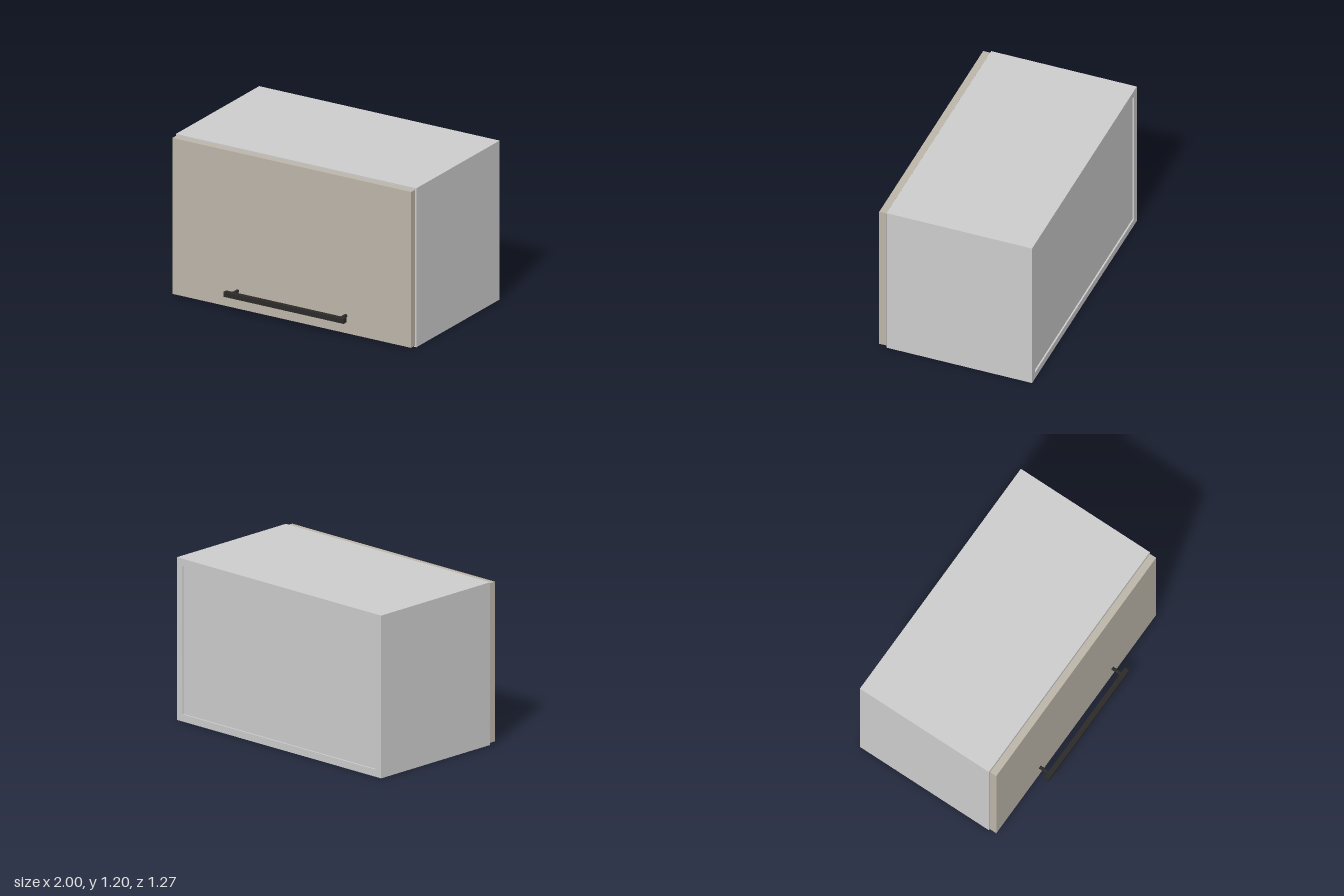
import * as THREE from 'three';

export function createModel() {
  const model = new THREE.Group();
  model.name = 'wallCabinet';

  const grey = new THREE.MeshStandardMaterial({ color: 0xcccccc });
  const beige = new THREE.MeshStandardMaterial({ color: 0xbcb4a8 });
  const black = new THREE.MeshStandardMaterial({ color: 0x2b2a29 });

  function add(parent, name, geometry, material, x, y, z) {
    const mesh = new THREE.Mesh(geometry, material);
    mesh.name = name;
    mesh.position.set(x, y, z);
    parent.add(mesh);
    return mesh;
  }

  // Box given by its minimum and maximum corners
  function addBox(parent, name, material, [x0, y0, z0], [x1, y1, z1]) {
    const geometry = new THREE.BoxGeometry(x1 - x0, y1 - y0, z1 - z0);
    return add(parent, name, geometry, material, (x0 + x1) / 2, (y0 + y1) / 2, (z0 + z1) / 2);
  }

  const H = 1.2, T = 0.053; // cabinet height, board thickness
  const back = -0.635, front = 0.468;

  // Carcass: hollow frame of boards, open front and back
  const outline = new THREE.Shape([
    new THREE.Vector2(-1, 0), new THREE.Vector2(1, 0),
    new THREE.Vector2(1, H), new THREE.Vector2(-1, H),
  ]);
  outline.holes.push(new THREE.Path([
    new THREE.Vector2(-1 + T, T), new THREE.Vector2(-1 + T, H - T),
    new THREE.Vector2(1 - T, H - T), new THREE.Vector2(1 - T, T),
  ]));
  const frame = new THREE.ExtrudeGeometry(outline, { depth: front - back, bevelEnabled: false });
  add(model, 'carcass', frame, grey, 0, 0, back);

  // Slightly recessed back panel
  addBox(model, 'backPanel', grey, [-1 + T, T, back + 0.012], [1 - T, H - T, back + 0.025]);

  // Flap door, held just clear of the carcass
  addBox(model, 'door', beige, [-0.993, 0.013, 0.473], [0.993, 1.19, 0.526]);

  // Bar handle on two round posts
  const handle = new THREE.Group();
  handle.name = 'handle';
  model.add(handle);
  addBox(handle, 'handleBar', black, [-0.5, 0.128, 0.598], [0.5, 0.164, 0.635]);
  for (const side of [-1, 1]) {
    const post = new THREE.CylinderGeometry(0.0125, 0.0125, 0.076, 24);
    post.rotateX(Math.PI / 2);
    add(handle, side > 0 ? 'leftHandlePost' : 'rightHandlePost', post, black, side * 0.45, 0.146, 0.562);
  }

  return model;
}
